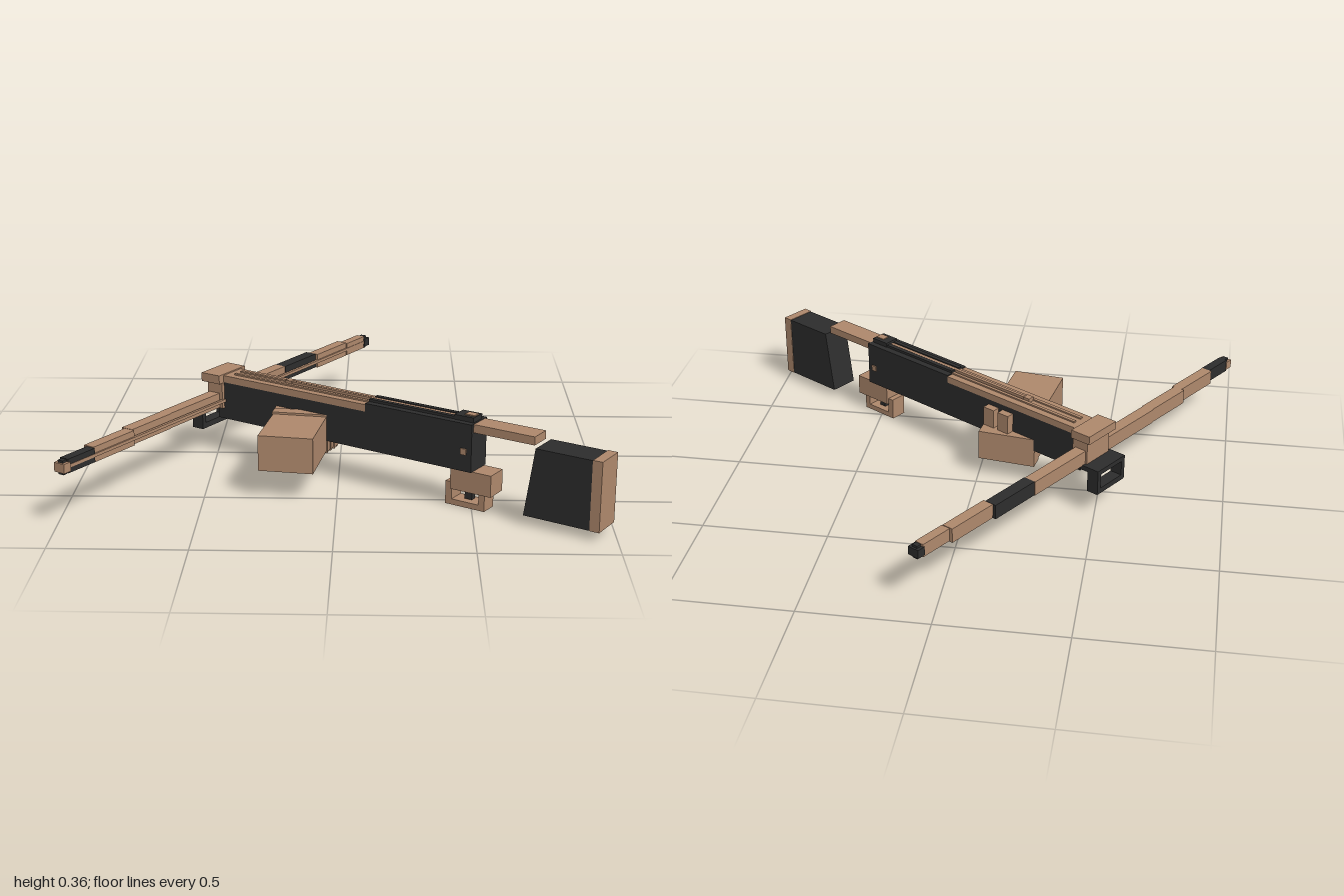
import * as THREE from 'three';

const wood = new THREE.MeshStandardMaterial({ color: 0xae886c });
wood.name = 'tan wood';
const iron = new THREE.MeshStandardMaterial({ color: 0x2d2d2d });
iron.name = 'dark iron';

// Box given by its extents along each axis
function box(parent, name, mat, [x0, x1], [y0, y1], [z0, z1]) {
  const mesh = new THREE.Mesh(new THREE.BoxGeometry(x1 - x0, y1 - y0, z1 - z0), mat);
  mesh.position.set((x0 + x1) / 2, (y0 + y1) / 2, (z0 + z1) / 2);
  mesh.name = name;
  parent.add(mesh);
  return mesh;
}
const mid = (w) => [-w, w];

export function createModel() {
  const model = new THREE.Group();
  model.name = 'crossbow';

  // Weapon frame: local x runs from the bow to the butt, local z along the limbs
  const bow = new THREE.Group();
  bow.name = 'weapon';
  bow.rotation.y = -0.559;
  bow.position.set(-0.106, 0, 0.17);
  model.add(bow);

  // Stock
  box(bow, 'stockBody', iron, [-0.42, 0.742], [0.15, 0.302], mid(0.056));
  box(bow, 'frontTopPlate', wood, [-0.42, 0.282], [0.302, 0.33], mid(0.057));
  box(bow, 'rearTopPlate', iron, [0.282, 0.742], [0.302, 0.335], mid(0.057));
  box(bow, 'wristBar', wood, [0.72, 0.99], [0.302, 0.334], mid(0.043));
  for (const side of [-1, 1]) {
    const z = side * 0.057;
    box(bow, 'sidePin', wood, [0.697, 0.721], [0.215, 0.239], [z - 0.004, z + 0.004]);
    const r = side * 0.02;
    box(bow, 'frontRail', wood, [-0.36, 0.282], [0.33, 0.336], [r - 0.007, r + 0.007]);
    box(bow, 'rearRail', iron, [0.282, 0.7], [0.335, 0.345], [r - 0.009, r + 0.009]);
  }
  box(bow, 'bolt', wood, [-0.1, 0.66], [0.329, 0.343], mid(0.007));
  box(bow, 'boltTip', wood, [-0.12, -0.09], [0.329, 0.347], mid(0.014));

  // Latch on top of the stock
  box(bow, 'latchBase', iron, [0.655, 0.735], [0.335, 0.354], mid(0.032));
  box(bow, 'latchNut', wood, [0.69, 0.73], [0.336, 0.358], mid(0.016));

  // Butt with a raked front edge
  const profile = new THREE.Shape([[0.963, 0.035], [1.225, 0.035], [1.225, 0.298], [1.003, 0.298]]
    .map(([x, y]) => new THREE.Vector2(x, y)));
  const butt = new THREE.Mesh(new THREE.ExtrudeGeometry(profile, { depth: 0.122, bevelEnabled: false }), iron);
  butt.position.z = -0.061;
  butt.name = 'butt';
  bow.add(butt);
  box(bow, 'buttPlate', wood, [1.225, 1.263], [0.035, 0.3], mid(0.063));

  // Head block and foot stirrup
  box(bow, 'headCap', wood, [-0.481, -0.392], [0.3, 0.335], mid(0.085));
  box(bow, 'headBlock', wood, [-0.462, -0.39], [0.195, 0.3], mid(0.07));
  box(bow, 'stirrupTop', iron, [-0.531, -0.44], [0.18, 0.2], mid(0.087));
  box(bow, 'stirrupFoot', iron, [-0.531, -0.48], [0.095, 0.118], mid(0.087));
  for (const side of [-1, 1]) {
    const z = side * 0.077;
    box(bow, 'stirrupSide', iron, [-0.531, -0.48], [0.118, 0.18], [z - 0.01, z + 0.01]);
  }

  // Limbs: [start, end, centre along the stock, half width, bottom, top]
  const segments = [
    [0, 0.38, -0.429, 0.025, 0.197, 0.257],
    [0.38, 0.606, -0.426, 0.025, 0.197, 0.257],
    [0.606, 0.83, -0.414, 0.023, 0.197, 0.256],
    [0.83, 0.97, -0.405, 0.019, 0.2, 0.253],
    [0.965, 1.0, -0.403, 0.024, 0.208, 0.243],
  ];
  const limbColours = { '-1': [wood, iron, wood, wood, iron], '1': [wood, wood, wood, iron, wood] };
  for (const side of [-1, 1]) {
    const limb = new THREE.Group();
    limb.name = side > 0 ? 'rightLimb' : 'leftLimb';
    segments.forEach(([a, b, c, w, y0, y1], i) => {
      const z = side > 0 ? [a, b] : [-b, -a];
      box(limb, 'limbSegment', limbColours[side][i], [c - w, c + w], [y0, y1], z);
    });
    box(limb, 'tipPin', iron, [-0.415, -0.391], [0.198, 0.252],
      side > 0 ? [0.972, 0.992] : [-0.992, -0.972]);
    bow.add(limb);
  }
  box(bow, 'bowstring', wood, [-0.396, -0.384], [0.22, 0.232], mid(0.97));

  // Trigger housing, guard and trigger
  box(bow, 'triggerHousing', wood, [0.65, 0.82], [0.066, 0.15], mid(0.045));
  box(bow, 'guardFoot', wood, [0.625, 0.79], [0, 0.022], mid(0.035));
  box(bow, 'guardFront', wood, [0.625, 0.652], [0.022, 0.09], mid(0.035));
  box(bow, 'guardRear', wood, [0.765, 0.79], [0.022, 0.066], mid(0.035));
  box(bow, 'trigger', iron, [0.695, 0.725], [0.026, 0.066], mid(0.012));

  // Brackets holding the magazine to the stock
  for (const x of [-0.045, 0.03]) {
    box(bow, 'magazineBracket', wood, [x - 0.027, x + 0.027], [0.19, 0.28], [-0.088, -0.05]);
  }

  // Box magazine crossing under the stock, growing in steps toward its rear
  const magazine = new THREE.Group();
  magazine.name = 'magazine';
  magazine.rotation.y = -0.157;
  magazine.position.set(-0.192, 0, 0.513);
  model.add(magazine);
  const slices = [
    [-0.26, 0, 0.105, 0.108, 0.247],
    [-0.31, -0.26, 0.109, 0.1, 0.255],
    [-0.36, -0.31, 0.113, 0.092, 0.25],
    [-0.41, -0.36, 0.118, 0.083, 0.215],
    [-0.475, -0.41, 0.118, 0.075, 0.2],
  ];
  for (const [z0, z1, w, y0, y1] of slices) {
    box(magazine, 'magazineSlice', wood, mid(w), [y0, y1], [z0, z1]);
  }
  for (const x of [-0.06, 0, 0.06]) {
    box(magazine, 'magazineRib', wood, [x - 0.015, x + 0.015], [0.068, 0.08], [-0.46, -0.37]);
  }
  return model;
}
